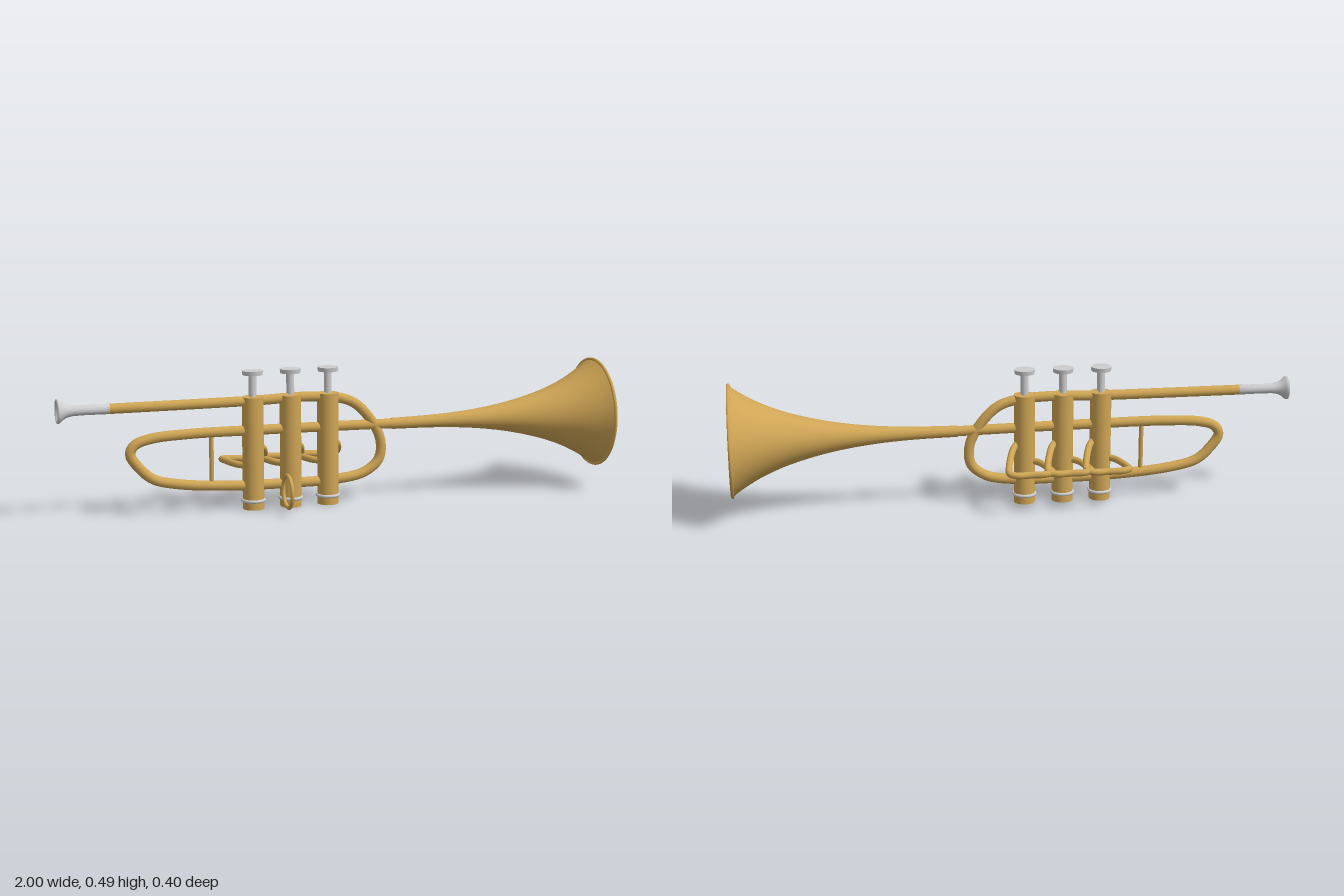
import * as THREE from 'three';

const brass = new THREE.MeshStandardMaterial({ color: 0xcfa555, side: THREE.DoubleSide });
brass.name = 'brass';
const silver = new THREE.MeshStandardMaterial({ color: 0xcdcdd0, side: THREE.DoubleSide });
silver.name = 'silver';

export function createModel() {
  const model = new THREE.Group();
  model.name = 'trumpet';

  const add = (name, geometry, material, x = 0, y = 0, z = 0, parent = model) => {
    const mesh = new THREE.Mesh(geometry, material);
    mesh.name = name;
    mesh.position.set(x, y, z);
    parent.add(mesh);
    return mesh;
  };
  const vectors = (points) => points.map(([x, y, z = 0]) => new THREE.Vector3(x, y, z));
  const tube = (name, points, radius, segments, parent = model) => {
    const curve = new THREE.CatmullRomCurve3(vectors(points), false, 'centripetal');
    return add(name, new THREE.TubeGeometry(curve, segments, radius, 16), brass, 0, 0, 0, parent);
  };
  // Turned shape along x from [x, radius] pairs
  const turned = (pairs, smooth) => {
    let points = pairs.map(([x, r]) => new THREE.Vector2(r, x));
    if (smooth) points = new THREE.SplineCurve(points).getPoints(smooth);
    return new THREE.LatheGeometry(points, 56).rotateZ(-Math.PI / 2);
  };

  // Mouthpiece with hollow cup
  add('mouthpiece', turned([
    [-0.82, 0.001], [-0.82, 0.018], [-0.9, 0.017], [-0.945, 0.018], [-0.965, 0.022],
    [-0.98, 0.03], [-0.988, 0.038], [-0.995, 0.042], [-1, 0.041], [-1, 0.034],
    [-0.985, 0.026], [-0.97, 0.014], [-0.96, 0.001],
  ]), silver, 0, 0.385);

  // One continuous pipe: leadpipe, front bow, lower pipe, rear bow, bell pipe
  tube('mainPipe', [
    [-0.83, 0.385], [-0.5, 0.385], [-0.3, 0.386], [-0.12, 0.39], [0, 0.38], [0.06, 0.357],
    [0.12, 0.295], [0.157, 0.22], [0.152, 0.15], [0.1, 0.106], [0, 0.086], [-0.2, 0.083],
    [-0.4, 0.088], [-0.58, 0.105], [-0.67, 0.128], [-0.715, 0.165], [-0.752, 0.222],
    [-0.735, 0.253], [-0.68, 0.272], [-0.55, 0.281], [-0.3, 0.281], [0, 0.278], [0.2, 0.275],
  ], 0.018, 260);
  add('pipeEnd', new THREE.SphereGeometry(0.018, 20, 12), brass, 0.2, 0.275);
  add('leadpipeCap', new THREE.CircleGeometry(0.018, 20).rotateY(-Math.PI / 2), brass, -0.83, 0.385);

  // Flared bell and rolled rim
  add('bell', turned([
    [0.2, 0.02], [0.35, 0.023], [0.48, 0.031], [0.6, 0.046], [0.7, 0.066],
    [0.8, 0.094], [0.88, 0.126], [0.95, 0.164], [0.995, 0.196],
  ], 48), brass, 0, 0.275);
  add('bellRim', new THREE.TorusGeometry(0.195, 0.006, 10, 64).rotateY(Math.PI / 2), brass, 0.994, 0.275);

  // Three valves, each with a piston, a ring and a slide loop behind
  [-0.315, -0.178, -0.04].forEach((x, i) => {
    const valve = new THREE.Group();
    valve.name = 'valve' + (i + 1);
    valve.position.x = x;
    model.add(valve);
    add('casing', new THREE.CylinderGeometry(0.038, 0.038, 0.4, 32), brass, 0, 0.2, 0, valve);
    add('casingRing', new THREE.TorusGeometry(0.038, 0.006, 10, 36).rotateX(Math.PI / 2), silver, 0, 0.031, 0, valve);
    add('stem', new THREE.CylinderGeometry(0.014, 0.014, 0.08, 20), silver, 0, 0.44, 0, valve);
    add('button', new THREE.CylinderGeometry(0.037, 0.035, 0.015, 32), silver, 0, 0.485, 0, valve);
    tube('slideLoop', [
      [-0.03, 0.155, -0.01], [-0.05, 0.155, -0.035], [-0.073, 0.155, -0.11], [-0.077, 0.154, -0.145],
      [-0.05, 0.152, -0.157], [0, 0.15, -0.152], [0.05, 0.152, -0.157], [0.073, 0.155, -0.145],
      [0.071, 0.168, -0.11], [0.045, 0.208, -0.03], [0.03, 0.22, -0.01],
    ], 0.012, 72, valve);
  });

  // Brace and finger ring
  add('brace', new THREE.CylinderGeometry(0.008, 0.008, 0.18, 14), brass, -0.465, 0.185);
  add('fingerRing', new THREE.TorusGeometry(0.057, 0.007, 12, 40).rotateY(Math.PI / 2), brass, -0.22, 0.077, 0.108);

  return model;
}
